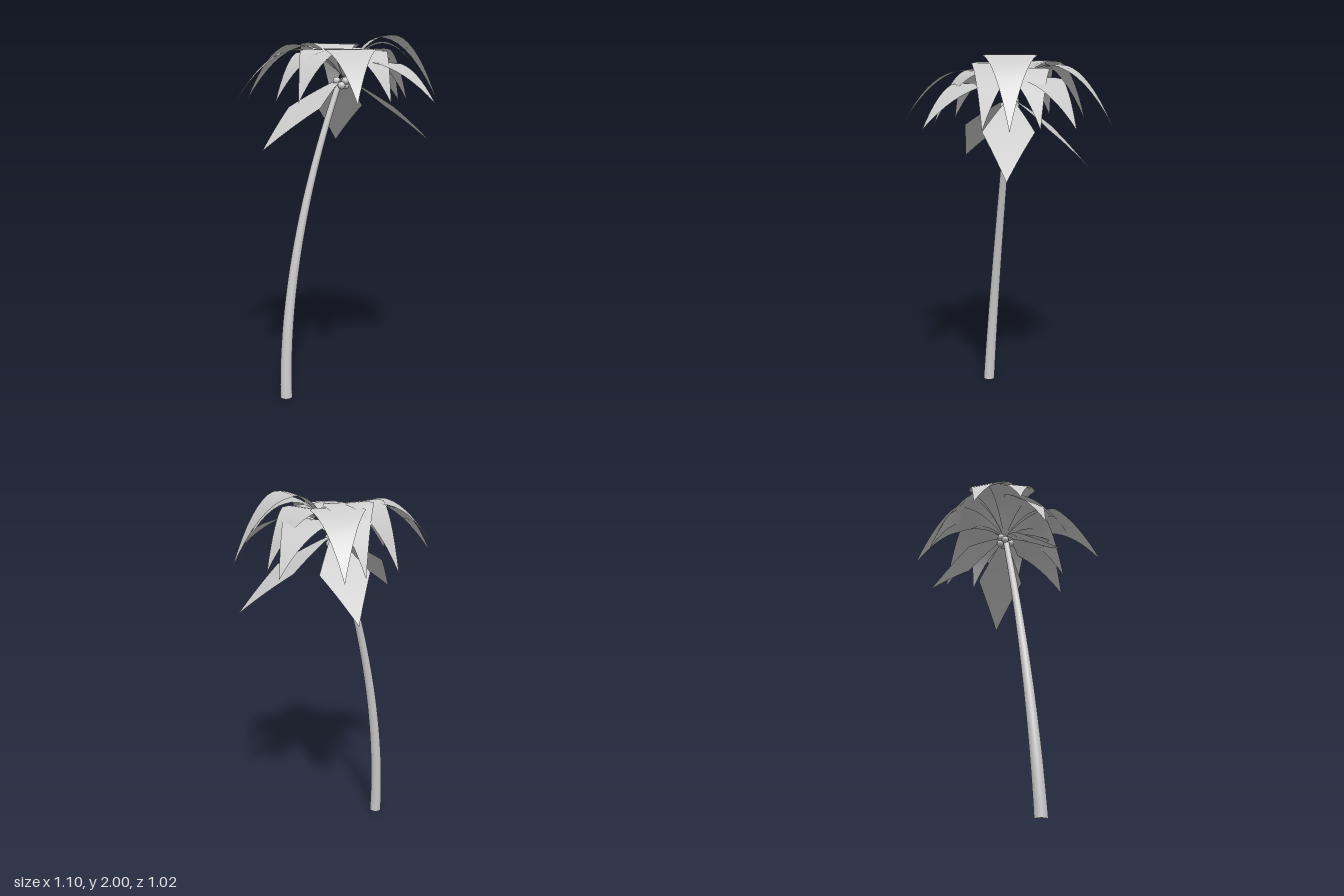
import * as THREE from 'three';

const grey = new THREE.MeshStandardMaterial({ color: 0xcccccc });
const leafGrey = new THREE.MeshStandardMaterial({ color: 0xcccccc, side: THREE.DoubleSide });
const crown = new THREE.Vector3(0.025, 1.78, -0.04);

// Curved trunk: an open tapered cylinder, leaning further the higher it gets.
function makeTrunk() {
  const height = 1.77;
  const geo = new THREE.CylinderGeometry(0.017, 0.034, height, 20, 24, true);
  geo.translate(0, height / 2, 0);
  const pos = geo.attributes.position;
  for (let i = 0; i < pos.count; i++) {
    const t = Math.max(0, pos.getY(i) / height);
    pos.setX(i, pos.getX(i) - 0.35 + 0.36 * t ** 1.85);
    pos.setZ(i, pos.getZ(i) - 0.003 - 0.1 * t + 0.06 * t * t);
  }
  geo.computeVertexNormals();
  const mesh = new THREE.Mesh(geo, grey);
  mesh.name = 'trunk';
  return mesh;
}

// Kite-shaped frond: widest halfway out, arching through shoulderY to the tip.
function makeFrond(tipX, tipZ, tipY, shoulderY) {
  const dx = tipX - crown.x, dz = tipZ - crown.z;
  const length = Math.hypot(dx, dz);
  const geo = new THREE.PlaneGeometry(1, 1, 2, 16);
  const pos = geo.attributes.position;
  for (let i = 0; i < pos.count; i++) {
    const u = pos.getY(i) + 0.5;
    const halfWidth = 0.135 * (u < 0.5 ? 0.03 + 1.94 * u : 2 - 2 * u);
    const side = (pos.getX(i) * 2 * halfWidth) / length;
    const y = crown.y * (1 - u) * (1 - 2 * u) + shoulderY * 4 * u * (1 - u) + tipY * u * (2 * u - 1);
    pos.setXYZ(i, crown.x + dx * u - dz * side, y, crown.z + dz * u + dx * side);
  }
  geo.computeVertexNormals();
  const mesh = new THREE.Mesh(geo, leafGrey);
  mesh.name = 'frond';
  return mesh;
}

export function createModel() {
  const model = new THREE.Group();
  model.name = 'palmTree';
  model.add(makeTrunk());

  // Arching fronds: tip x, tip z, shoulder height
  const upper = [
    [-0.412, -0.40, 1.95], [-0.55, -0.185, 1.92], [-0.402, 0.03, 1.91], [-0.34, 0.195, 1.92],
    [-0.165, 0.51, 1.915], [0.087, 0.387, 1.915], [0.294, 0.475, 1.85], [0.447, 0.21, 1.96],
    [0.548, 0.10, 1.998], [0.457, -0.08, 1.93], [0.50, -0.25, 1.88], [0.312, -0.51, 1.945],
    [0.16, -0.48, 1.965], [-0.04, -0.49, 1.965],
  ];
  const upperFronds = new THREE.Group();
  upperFronds.name = 'upperFronds';
  for (const [x, z, y] of upper) upperFronds.add(makeFrond(x, z, 1.645, y));
  model.add(upperFronds);

  // Drooping fronds
  const lowerFronds = new THREE.Group();
  lowerFronds.name = 'droopingFronds';
  for (const [x, z] of [[-0.505, 0.103], [0.52, 0.107], [0.17, -0.445]]) {
    lowerFronds.add(makeFrond(x, z, 1.405, 1.62));
  }
  model.add(lowerFronds);

  // Ring of coconuts under the crown
  const coconuts = new THREE.Group();
  coconuts.name = 'coconuts';
  const ball = new THREE.SphereGeometry(0.021, 16, 12);
  for (let i = 0; i < 7; i++) {
    const a = (i / 7) * Math.PI * 2;
    const nut = new THREE.Mesh(ball, grey);
    nut.name = 'coconut';
    nut.position.set(0.008 + 0.032 * Math.cos(a), 1.745 + (i % 2 ? 0.015 : -0.01), -0.042 + 0.032 * Math.sin(a));
    coconuts.add(nut);
  }
  model.add(coconuts);
  return model;
}
